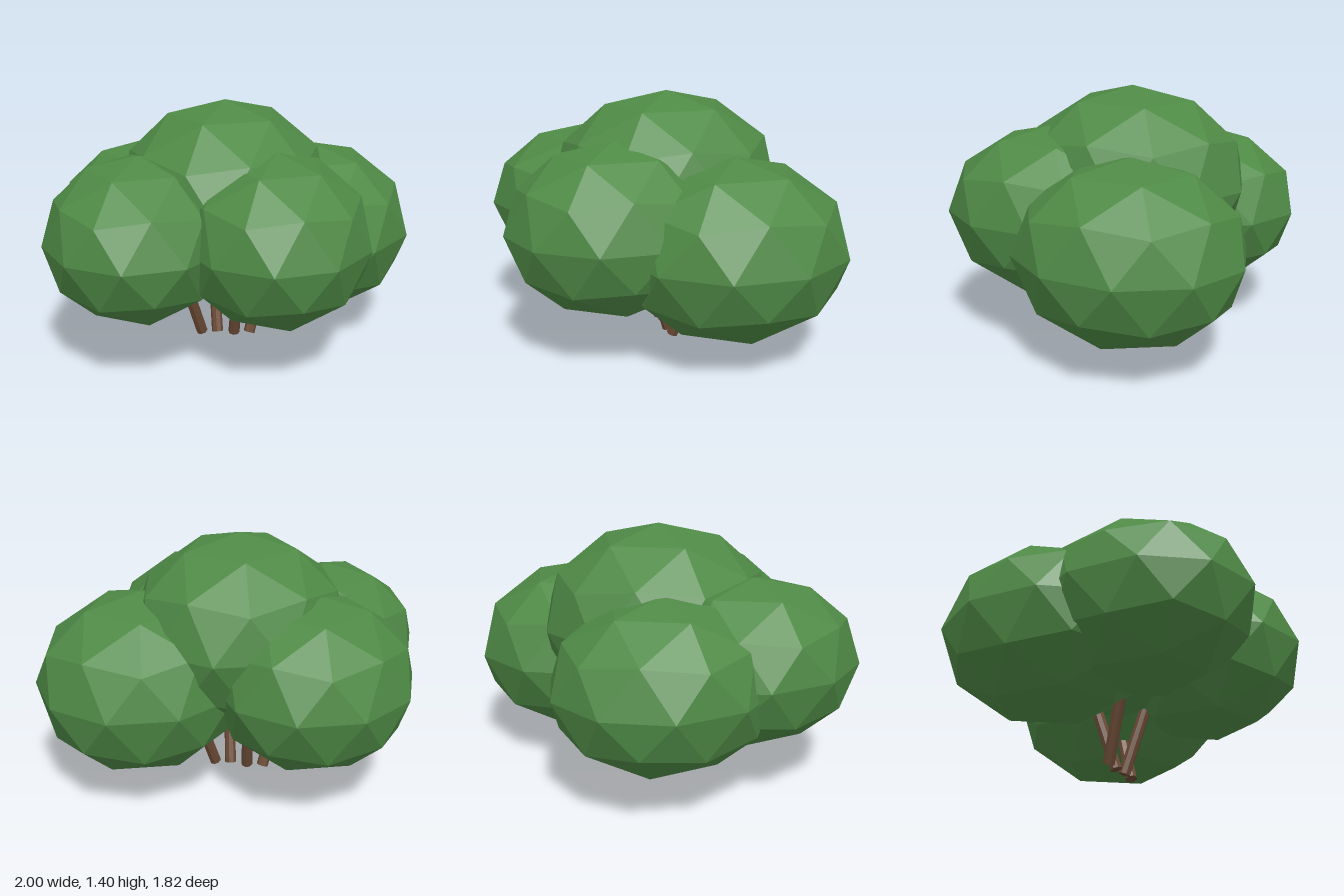
import * as THREE from 'three';

const leafMaterial = new THREE.MeshStandardMaterial({ color: 0x4f8a46, flatShading: true });
const barkMaterial = new THREE.MeshStandardMaterial({ color: 0x6b4a35, flatShading: true });

// Faceted ball with a vertex at the top, stretched per clump
function leafClump(name, center, radii) {
  const geometry = new THREE.IcosahedronGeometry(1, 1);
  geometry.rotateZ(Math.atan(2 / (1 + Math.sqrt(5))));
  geometry.scale(...radii);
  const mesh = new THREE.Mesh(geometry, leafMaterial);
  mesh.name = name;
  mesh.position.set(...center);
  return mesh;
}

// Straight leaning stem from the ground up into the leaves
function stem(name, x, leanX, leanZ) {
  const bottom = new THREE.Vector3(x, 0.011, -0.045);
  const top = new THREE.Vector3(x + leanX * 0.6, 0.61, -0.045 + leanZ * 0.6);
  const axis = top.clone().sub(bottom);
  const mesh = new THREE.Mesh(new THREE.CylinderGeometry(0.031, 0.033, axis.length(), 8), barkMaterial);
  mesh.name = name;
  mesh.position.copy(bottom).add(top).multiplyScalar(0.5);
  mesh.quaternion.setFromUnitVectors(new THREE.Vector3(0, 1, 0), axis.normalize());
  return mesh;
}

export function createModel() {
  const bush = new THREE.Group();
  bush.name = 'bush';

  // Foliage: four clumps around a taller middle one
  bush.add(
    leafClump('frontRightLeaves', [-0.48, 0.71, 0.297], [0.515, 0.45, 0.593]),
    leafClump('backRightLeaves', [-0.48, 0.66, -0.225], [0.547, 0.47, 0.615]),
    leafClump('frontLeftLeaves', [0.25, 0.72, 0.317], [0.52, 0.47, 0.59]),
    leafClump('backLeftLeaves', [0.45, 0.617, -0.283], [0.578, 0.495, 0.63]),
    leafClump('topLeaves', [-0.04, 0.87, -0.045], [0.6, 0.53, 0.65]),
  );

  // Stems: x of the foot, lean in x and lean in z
  [[-0.18, -0.24, 0.31], [-0.088, -0.08, -0.31], [0.01, 0.08, 0.31], [0.1, 0.24, -0.31]]
    .forEach((s, i) => bush.add(stem(`stem${i + 1}`, ...s)));

  return bush;
}
